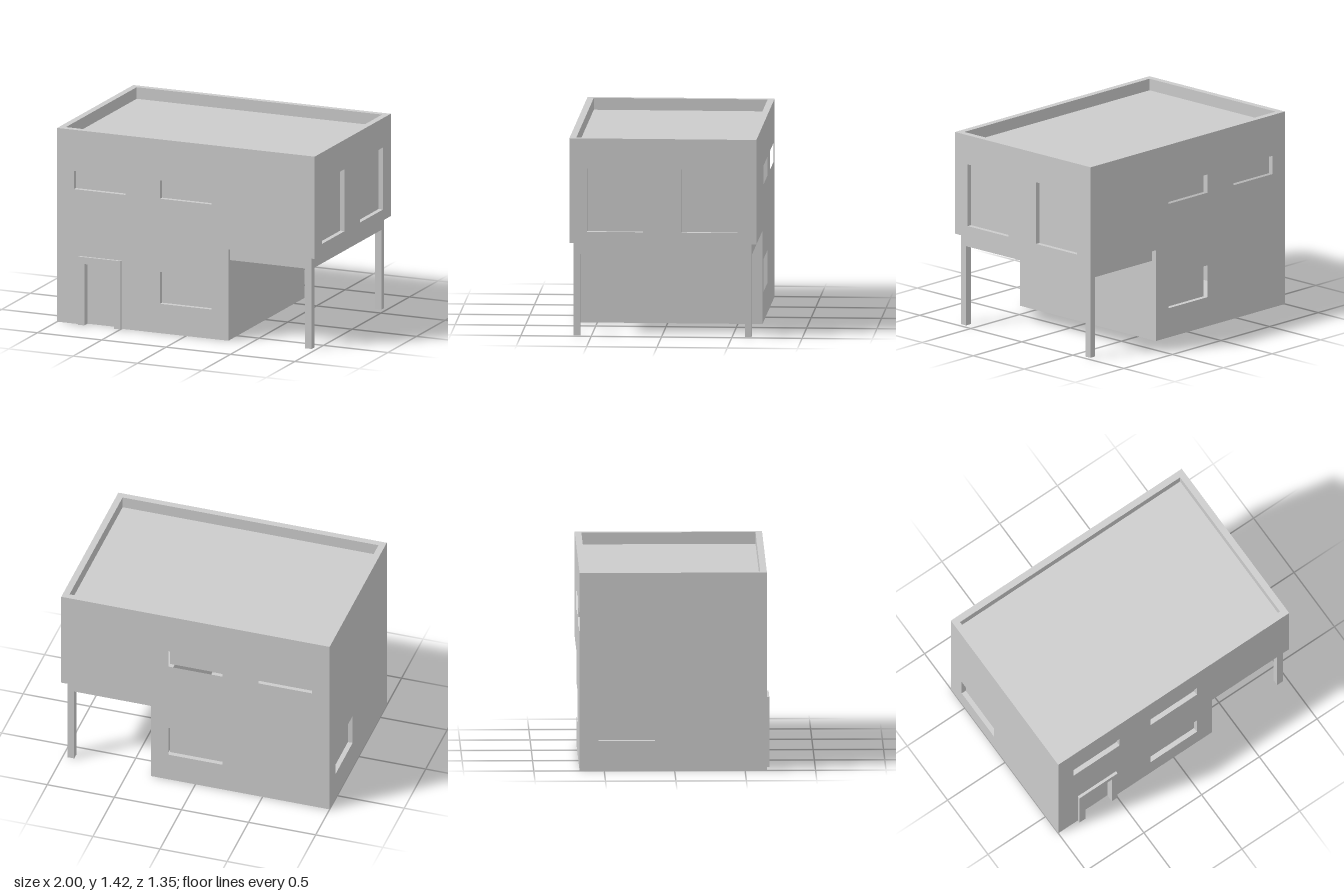
import * as THREE from 'three';

const FRONT = 0.655, BACK = -0.675, TOP = 1.42, MID = 0.67, STEP = 0.33;
const WALL = 0.047, RECESS = 0.035;
const material = new THREE.MeshStandardMaterial({ color: 0xcccccc });

function addMesh(parent, name, geometry) {
  const mesh = new THREE.Mesh(geometry, material);
  mesh.name = name;
  parent.add(mesh);
  return mesh;
}

// Box given by its two opposite corners
function addBox(parent, name, [x0, y0, z0], [x1, y1, z1]) {
  const mesh = addMesh(parent, name, new THREE.BoxGeometry(x1 - x0, y1 - y0, z1 - z0));
  mesh.position.set((x0 + x1) / 2, (y0 + y1) / 2, (z0 + z1) / 2);
  return mesh;
}

const polygon = (points) => points.map(([x, y]) => new THREE.Vector2(x, y));
const rect = (x0, y0, x1, y1) => [[x0, y0], [x1, y0], [x1, y1], [x0, y1]];

// Wall drawn facing +z at a given distance from the centre, then turned about y.
// Windows are [x0, y0, x1, y1] openings, each closed by a recessed pane.
function addWall(parent, name, outline, windows, distance, angle) {
  const group = new THREE.Group();
  group.name = name;
  group.rotation.y = angle;
  const shape = new THREE.Shape(polygon(outline));
  windows.forEach((w) => shape.holes.push(new THREE.Path(polygon(rect(...w)).reverse())));
  const geometry = new THREE.ExtrudeGeometry(shape, { depth: WALL, bevelEnabled: false });
  geometry.translate(0, 0, distance - WALL);
  addMesh(group, name + 'Panel', geometry);
  windows.forEach(([x0, y0, x1, y1]) =>
    addBox(group, 'windowPane', [x0, y0, distance - WALL], [x1, y1, distance - RECESS]));
  parent.add(group);
  return group;
}

export function createModel() {
  const house = new THREE.Group();
  house.name = 'house';

  // Front wall: stepped outline with a door notch
  const longWindows = [
    [-0.87, 0.985, -0.47, 1.12],
    [-0.2, 0.985, 0.2, 1.12],
    [-0.2, 0.215, 0.2, 0.45],
  ];
  const stepped = [[STEP, 0], [STEP, MID], [1, MID], [1, TOP], [-1, TOP], [-1, 0]];
  const doorNotch = [[-0.78, 0], [-0.78, 0.45], [-0.55, 0.45], [-0.55, 0]];
  const front = addWall(house, 'frontWall', [...stepped, ...doorNotch], longWindows, FRONT, 0);
  addBox(front, 'door', [-0.78, 0, FRONT - WALL], [-0.55, 0.45, FRONT - RECESS]);

  // Raised door surround
  const surround = new THREE.Shape(polygon(
    [[-0.83, 0.5], [-0.83, 0], ...doorNotch, [-0.5, 0], [-0.5, 0.5]]));
  const surroundGeometry = new THREE.ExtrudeGeometry(surround, { depth: 0.02, bevelEnabled: false });
  surroundGeometry.translate(0, 0, FRONT);
  addMesh(front, 'doorSurround', surroundGeometry);

  // Back wall: same layout mirrored
  addWall(house, 'backWall',
    stepped.map(([x, y]) => [-x, y]),
    longWindows.map(([x0, y0, x1, y1]) => [-x1, y0, -x0, y1]), -BACK, Math.PI);

  // Side walls fit between the front and back walls
  const zIn0 = BACK + WALL, zIn1 = FRONT - WALL;
  addWall(house, 'leftUpperWall', rect(-zIn1, MID, -zIn0, TOP),
    [[-0.53, 0.75, -0.13, 1.205], [0.14, 0.75, 0.54, 1.205]], 1, Math.PI / 2);
  addWall(house, 'rightWall', rect(zIn0, 0, zIn1, TOP),
    [[-0.54, 0.215, -0.14, 0.45]], 1, -Math.PI / 2);
  addWall(house, 'leftLowerWall', rect(-zIn1, 0, -zIn0, MID), [], STEP, Math.PI / 2);

  // Horizontal slabs; the walls rise past the roof as a parapet
  const xIn = 1 - WALL;
  addBox(house, 'groundFloor', [-xIn, 0, zIn0], [STEP - WALL, 0.04, zIn1]);
  addBox(house, 'upperFloor', [STEP - WALL, MID, zIn0], [xIn, MID + 0.04, zIn1]);
  addBox(house, 'roof', [-xIn, 1.295, zIn0], [xIn, 1.335, zIn1]);

  // Carport frame under the overhang
  const carport = new THREE.Group();
  carport.name = 'carport';
  const beamY = 0.585, postX0 = 0.915, postX1 = 0.965;
  for (const [z0, z1] of [[0.58, 0.628], [-0.638, -0.59]]) {
    addBox(carport, 'post', [postX0, 0, z0], [postX1, beamY, z1]);
    addBox(carport, 'crossBeam', [STEP, beamY, z0], [postX1, MID, z1]);
  }
  addBox(carport, 'sideBeam', [postX0, beamY, -0.59], [postX1, MID, 0.58]);
  house.add(carport);

  return house;
}
